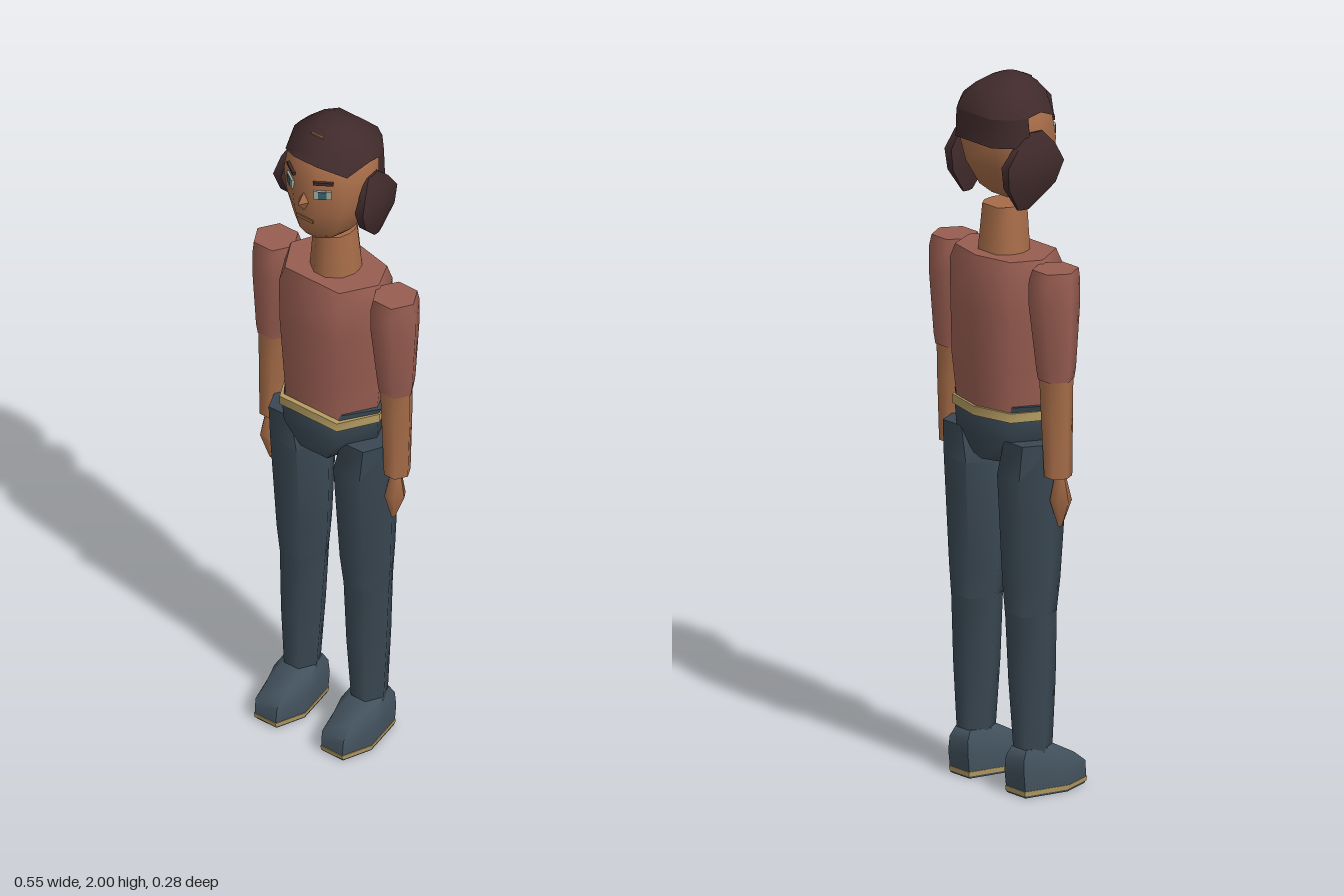
import * as THREE from 'three';
import { toCreasedNormals } from 'three/addons/utils/BufferGeometryUtils.js';

const flat = (name, color, extra = {}) => {
  const m = new THREE.MeshStandardMaterial({ color, ...extra });
  m.name = name;
  return m;
};

// Cross-sections: right half from front to back, mirrored to a closed loop.
const mirrorLoop = (half) => [
  ...half,
  ...half.filter(([x]) => x > 0).reverse().map(([x, z]) => [-x, z]),
];
const HEX = mirrorLoop([[0.5, 1], [1, 0], [0.5, -1]]);
const BODY = mirrorLoop([[0.62, 1], [1, 0.05], [0.75, -0.75], [0, -1]]);
const HEAD = mirrorLoop([[0.3, 1], [0.82, 0.6], [1, 0.05], [0.97, -0.3], [0.88, -0.62], [0.55, -1]]);

// One ring: height, centre x, half width, front z, back z.
const ring = (shape, [y, cx, hw, zf, zb], side = 1) =>
  shape.map(([u, v]) => [cx * side + u * hw, y, (zf + zb) / 2 + (v * (zf - zb)) / 2]);

// Skin rings from bottom to top, with caps when closed.
function loft(rings, closed = true) {
  const n = rings[0].length;
  const pos = rings.flat(2);
  const index = [];
  const last = closed ? n : n - 1;
  for (let i = 0; i < rings.length - 1; i++) {
    for (let j = 0; j < last; j++) {
      const a = i * n + j, b = i * n + ((j + 1) % n);
      index.push(a, b, b + n, a, b + n, a + n);
    }
  }
  if (closed) {
    const top = (rings.length - 1) * n;
    for (let j = 1; j < n - 1; j++) {
      index.push(0, j + 1, j);
      index.push(top, top + j, top + j + 1);
    }
  }
  const g = new THREE.BufferGeometry();
  g.setAttribute('position', new THREE.Float32BufferAttribute(pos, 3));
  g.setIndex(index);
  return toCreasedNormals(g, 1.1);
}

export function createModel() {
  const model = new THREE.Group();
  model.name = 'standingPerson';

  const skin = flat('skin', 0xa66c48);
  const hair = flat('hair', 0x402a2b, { side: THREE.DoubleSide });
  const shirt = flat('shirt', 0x985d51);
  const pants = flat('trousers', 0x3a4853);
  const shoe = flat('shoe', 0x42515d);
  const tan = flat('beltAndSole', 0xb59c62);
  const eyeWhite = flat('eyeWhite', 0x9fa79a);
  const iris = flat('iris', 0x35606a);
  const lip = flat('lip', 0x8c6440);

  const add = (name, geometry, material, parent = model) => {
    const mesh = new THREE.Mesh(geometry, material);
    mesh.name = name;
    parent.add(mesh);
    return mesh;
  };
  const part = (name, shape, rows, material, side = 1) =>
    add(name, loft(rows.map((r) => ring(shape, r, side))), material);
  const plate = (name, [w, h, d], [x, y, z], material, turn = 0) => {
    const m = add(name, new THREE.BoxGeometry(w, h, d), material);
    m.position.set(x, y, z);
    m.rotation.y = turn;
    return m;
  };
  const diamond = (name, radii, at, material) => {
    const g = new THREE.OctahedronGeometry(1);
    g.scale(...radii);
    g.computeVertexNormals();
    add(name, g, material).position.set(...at);
  };

  // Torso, hips and belt
  part('torso', BODY, [
    [1.06, 0, 0.145, 0.08, -0.122], [1.2, 0, 0.157, 0.085, -0.136],
    [1.35, 0, 0.163, 0.095, -0.138], [1.47, 0, 0.167, 0.094, -0.138],
    [1.51, 0, 0.153, 0.08, -0.125],
  ], shirt);
  part('hips', BODY, [
    [0.93, 0, 0.075, 0.072, -0.105], [1.0, 0, 0.15, 0.085, -0.122],
    [1.06, 0, 0.155, 0.09, -0.126], [1.085, 0, 0.156, 0.08, -0.12],
    [1.1, 0, 0.164, 0.074, -0.118],
  ], pants);
  part('belt', BODY, [
    [1.058, 0, 0.161, 0.096, -0.132], [1.084, 0, 0.161, 0.096, -0.132],
  ], tan);

  // Neck and head
  part('neck', HEAD, [
    [1.48, 0, 0.072, 0.047, -0.086], [1.53, 0, 0.067, 0.046, -0.083],
    [1.64, 0, 0.055, 0.043, -0.075],
  ], skin);
  part('head', HEAD, [
    [1.663, 0, 0.058, 0.083, -0.04], [1.69, 0, 0.087, 0.1, -0.07],
    [1.76, 0, 0.117, 0.112, -0.105], [1.83, 0, 0.132, 0.115, -0.12],
    [1.9, 0, 0.123, 0.105, -0.123], [1.94, 0, 0.1, 0.085, -0.108],
    [1.98, 0, 0.05, 0.04, -0.06],
  ], skin);

  // Hair cap with an uneven fringe
  const brim = ring(HEAD, [1.91, 0, 0.131, 0.11, -0.131]);
  const fringe = [1.925, 1.892, 1.92, 1.91, 1.91, 1.91];
  const hem = brim.map(([x, , z], i) => [x, fringe[Math.min(i, 11 - i)], z]);
  add('hairCap', loft([
    hem,
    ring(HEAD, [1.94, 0, 0.115, 0.096, -0.122]),
    ring(HEAD, [1.97, 0, 0.082, 0.072, -0.092]),
    ring(HEAD, [1.99, 0, 0.052, 0.046, -0.056]),
    ring(HEAD, [2.0, 0, 0.028, 0.025, -0.03]),
  ]), hair);
  // Hair at the nape, reaching lower than the fringe
  add('backHair', loft([
    ring(HEAD, [1.83, 0, 0.137, 0.12, -0.131]).slice(3, 9),
    brim.slice(3, 9),
  ], false), hair);
  plate('partingMark', [0.04, 0.006, 0.004], [0, 1.982, 0.057], lip);

  // Face
  diamond('nose', [0.02, 0.036, 0.032], [0, 1.797, 0.108], skin);
  plate('mouth', [0.056, 0.01, 0.008], [0, 1.736, 0.108], lip);

  for (const s of [1, -1]) {
    const side = s > 0 ? 'left' : 'right';
    const limb = (name, rows, material) => part(side + name, HEX, rows, material, s);

    plate(side + 'Eye', [0.048, 0.026, 0.008], [s * 0.056, 1.836, 0.103], eyeWhite, s * 0.6);
    plate(side + 'Iris', [0.022, 0.024, 0.008], [s * 0.057, 1.836, 0.105], iris, s * 0.6);
    plate(side + 'Brow', [0.055, 0.009, 0.009], [s * 0.056, 1.872, 0.1], hair, s * 0.6);
    diamond(side + 'Ear', [0.017, 0.042, 0.03], [s * 0.133, 1.812, 0.012], skin);

    // Side lock, splayed outward toward the front
    const lock = [
      [1.652, 0.118, 0.007, -0.038, -0.072], [1.72, 0.127, 0.024, 0.032, -0.115],
      [1.78, 0.13, 0.028, 0.055, -0.122], [1.83, 0.128, 0.02, 0.032, -0.085],
      [1.868, 0.122, 0.009, 0.0, -0.045],
    ].map((r) => ring(HEX, r, s).map(([x, y, z]) => [x + s * 0.14 * (z + 0.035), y, z]));
    add(side + 'HairLock', loft(lock), hair);

    // Arm
    limb('Sleeve', [
      [1.19, 0.212, 0.05, 0.022, -0.064], [1.22, 0.212, 0.055, 0.026, -0.068],
      [1.4, 0.206, 0.071, 0.039, -0.083], [1.47, 0.206, 0.07, 0.039, -0.083],
      [1.5, 0.208, 0.064, 0.035, -0.075],
    ], shirt);
    limb('Forearm', [
      [0.915, 0.217, 0.037, 0.016, -0.052], [1.1, 0.214, 0.045, 0.018, -0.058],
      [1.2, 0.212, 0.047, 0.02, -0.061],
    ], skin);
    limb('Hand', [
      [0.77, 0.212, 0.006, -0.002, -0.012], [0.845, 0.217, 0.032, 0.017, -0.034],
      [0.92, 0.218, 0.016, 0.0, -0.024],
    ], skin);

    // Leg
    limb('Thigh', [
      [0.51, 0.111, 0.073, 0.037, -0.085], [0.6, 0.11, 0.081, 0.047, -0.09],
      [0.9, 0.11, 0.091, 0.068, -0.104], [1.0, 0.126, 0.077, 0.064, -0.1],
    ], pants);
    limb('Shin', [
      [0.12, 0.117, 0.049, 0.026, -0.07], [0.32, 0.114, 0.062, 0.035, -0.08],
      [0.52, 0.111, 0.073, 0.037, -0.085],
    ], pants);

    // Shoe: a hexagonal outline that drops toward the toe
    const FOOT = mirrorLoop([[0.55, 1], [1, 0.2], [0.6, -1]]);
    const foot = (rows) => loft(rows.map((r) => ring(FOOT, r, s)));
    const upper = [
      [0.018, 0.116, 0.067, 0.137, -0.082], [0.065, 0.116, 0.068, 0.133, -0.087],
      [0.105, 0.116, 0.062, 0.095, -0.085], [0.132, 0.116, 0.05, 0.028, -0.07],
    ].map((r) => ring(FOOT, r, s));
    upper[2] = upper[2].map(([x, y, z]) => [x, y - 0.1 * Math.max(0, z), z]);
    add(side + 'Shoe', loft(upper), shoe);
    add(side + 'SoleRim', foot([
      [0.006, 0.116, 0.067, 0.137, -0.083], [0.019, 0.116, 0.069, 0.139, -0.084],
    ]), tan);
    add(side + 'SoleBottom', foot([
      [0, 0.116, 0.064, 0.132, -0.08], [0.007, 0.116, 0.066, 0.135, -0.082],
    ]), shoe);
  }
  return model;
}
